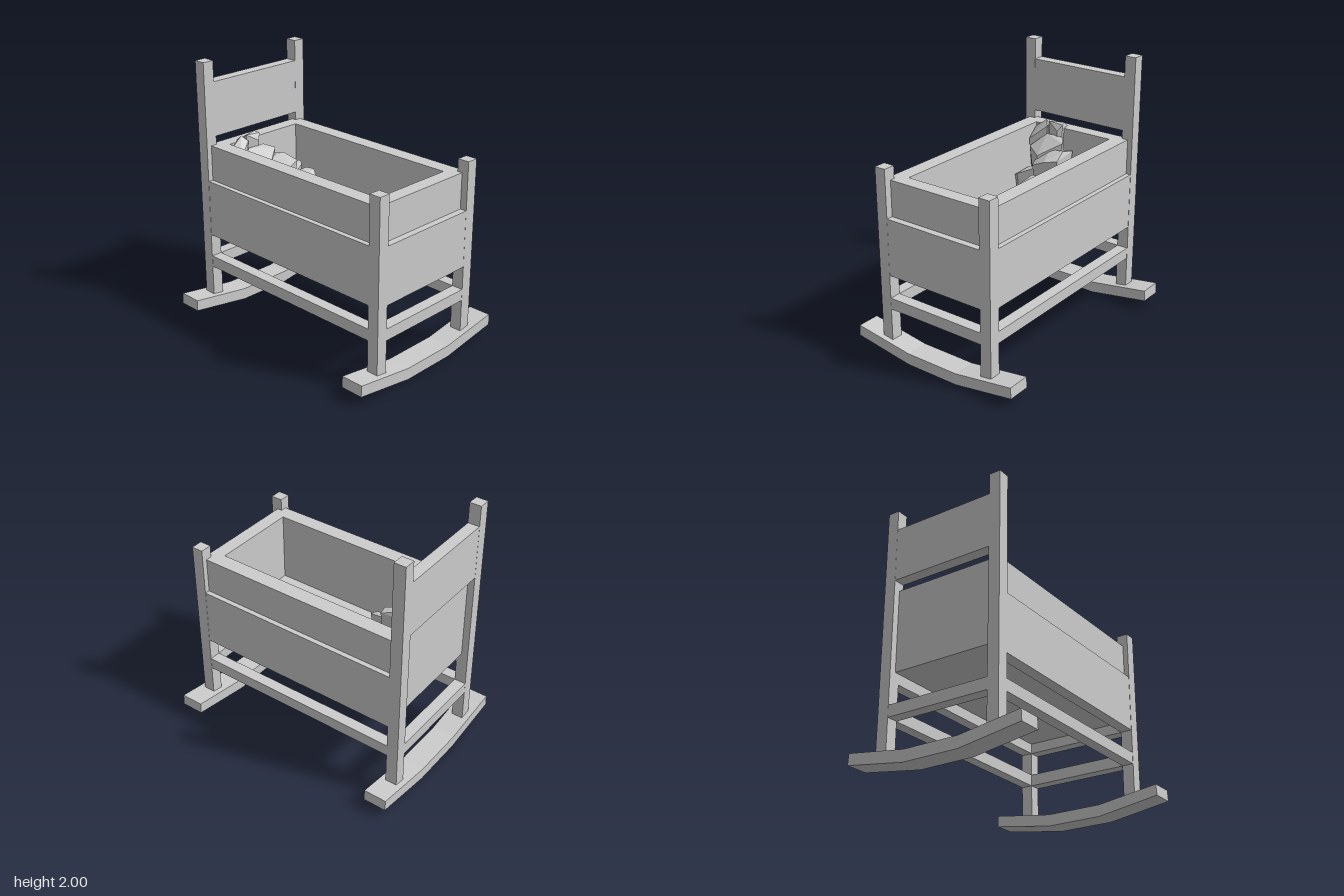
import * as THREE from 'three';
import { ConvexGeometry } from 'three/addons/geometries/ConvexGeometry.js';

const wood = new THREE.MeshStandardMaterial({ color: 0xcccccc });
wood.name = 'plain grey';

export function createModel() {
  const cradle = new THREE.Group();
  cradle.name = 'cradle';

  const add = (name, geometry) => {
    const mesh = new THREE.Mesh(geometry, wood);
    mesh.name = name;
    cradle.add(mesh);
    return mesh;
  };
  // box given by its limits on each axis
  const box = (name, x0, x1, y0, y1, z0, z1) =>
    add(name, new THREE.BoxGeometry(x1 - x0, y1 - y0, z1 - z0))
      .position.set((x0 + x1) / 2, (y0 + y1) / 2, (z0 + z1) / 2);
  // boxes on the ends and long sides, mirrored to the side given by s
  const endBox = (name, s, a, b, y0, y1, z) =>
    box(name, Math.min(s * a, s * b), Math.max(s * a, s * b), y0, y1, -z, z);
  const sideBox = (name, s, a, b, y0, y1, x) =>
    box(name, -x, x, y0, y1, Math.min(s * a, s * b), Math.max(s * a, s * b));

  // rockers: a bent bar in three straight runs
  const bar = new THREE.Shape([
    [-0.705, 0.075], [-0.22, 0], [0.22, 0], [0.705, 0.075],
    [0.7, 0.16], [0.22, 0.09], [-0.22, 0.09], [-0.7, 0.16],
  ].map(([x, y]) => new THREE.Vector2(x, y)));
  const rocker = new THREE.ExtrudeGeometry(bar, { depth: 0.18, bevelEnabled: false });
  rocker.translate(0, 0, -0.09).rotateY(Math.PI / 2);
  for (const s of [-1, 1]) add('rocker', rocker).position.x = s * 0.867;

  // corner posts, taller at the head
  for (const sx of [-1, 1]) for (const sz of [-1, 1]) {
    const x = sx * 0.867, z = sz * 0.455;
    box(sx < 0 ? 'headPost' : 'footPost', x - 0.046, x + 0.046, 0.1,
      sx < 0 ? 2 : 1.45, z - 0.045, z + 0.045);
  }
  box('headboard', -0.912, -0.822, 1.42, 1.84, -0.41, 0.41);

  // stretchers, lower panels and the set-back basket walls
  for (const s of [-1, 1]) {
    sideBox('sideStretcher', s, 0.41, 0.498, 0.37, 0.46, 0.822);
    endBox('endStretcher', s, 0.822, 0.912, 0.37, 0.46, 0.41);
    sideBox('sidePanel', s, 0.41, 0.498, 0.64, 1.08, 0.822);
    sideBox('basketSide', s, 0.34, 0.46, 0.72, 1.355, 0.86);
    endBox('basketEnd', s, 0.75, 0.86, 0.72, 1.355, 0.34);
  }
  // only the foot end has an outer panel
  endBox('footPanel', 1, 0.822, 0.912, 0.64, 1.08, 0.41);
  box('basketFloor', -0.75, 0.75, 0.72, 0.81, -0.34, 0.34);

  // faceted bundle at the head: top outline as x, y, z with a narrower foot
  const lump = (...top) => {
    const pts = top.map(p => new THREE.Vector3(...p));
    const mid = new THREE.Vector3();
    pts.forEach(p => mid.addScaledVector(p, 1 / pts.length));
    const foot = pts.map(p => p.clone().lerp(mid, 0.25).setY(Math.max(p.y - 0.32, 0.8)));
    add('beddingLump', new ConvexGeometry([...pts, ...foot]));
  };
  lump([-0.74, 1.08, -0.25], [-0.63, 1.1, -0.27], [-0.6, 1.08, -0.26], [-0.55, 1.06, -0.16], [-0.56, 1.04, -0.05], [-0.72, 1.08, -0.04]);
  lump([-0.56, 1.06, -0.27], [-0.49, 1.06, -0.285], [-0.43, 0.98, -0.26], [-0.46, 0.96, -0.07], [-0.6, 1.03, -0.06]);
  lump([-0.72, 1.2, -0.03], [-0.57, 1.24, -0.04], [-0.45, 1.2, -0.07], [-0.42, 1.18, 0.03], [-0.45, 1.12, 0.16], [-0.51, 1.14, 0.18], [-0.6, 1.22, 0.1]);
  lump([-0.7, 1.3, 0.05], [-0.62, 1.28, 0], [-0.51, 1.18, 0.16], [-0.62, 1.2, 0.31], [-0.7, 1.3, 0.2]);
  lump([-0.81, 1.357, 0.085], [-0.76, 1.4, 0.085], [-0.72, 1.39, 0.07], [-0.69, 1.34, 0.1], [-0.72, 1.4, 0.2], [-0.79, 1.36, 0.21]);
  lump([-0.44, 1.06, 0.06], [-0.26, 1.02, 0.09], [-0.25, 0.98, 0.18], [-0.34, 1.0, 0.19], [-0.44, 1.04, 0.16]);
  lump([-0.78, 1.36, 0.24], [-0.74, 1.4, 0.235], [-0.7, 1.36, 0.2], [-0.64, 1.25, 0.33], [-0.73, 1.33, 0.33]);
  lump([-0.58, 1.08, 0.15], [-0.52, 1.1, 0.12], [-0.44, 1.02, 0.3], [-0.46, 1.0, 0.335], [-0.62, 1.02, 0.32]);

  return cradle;
}
